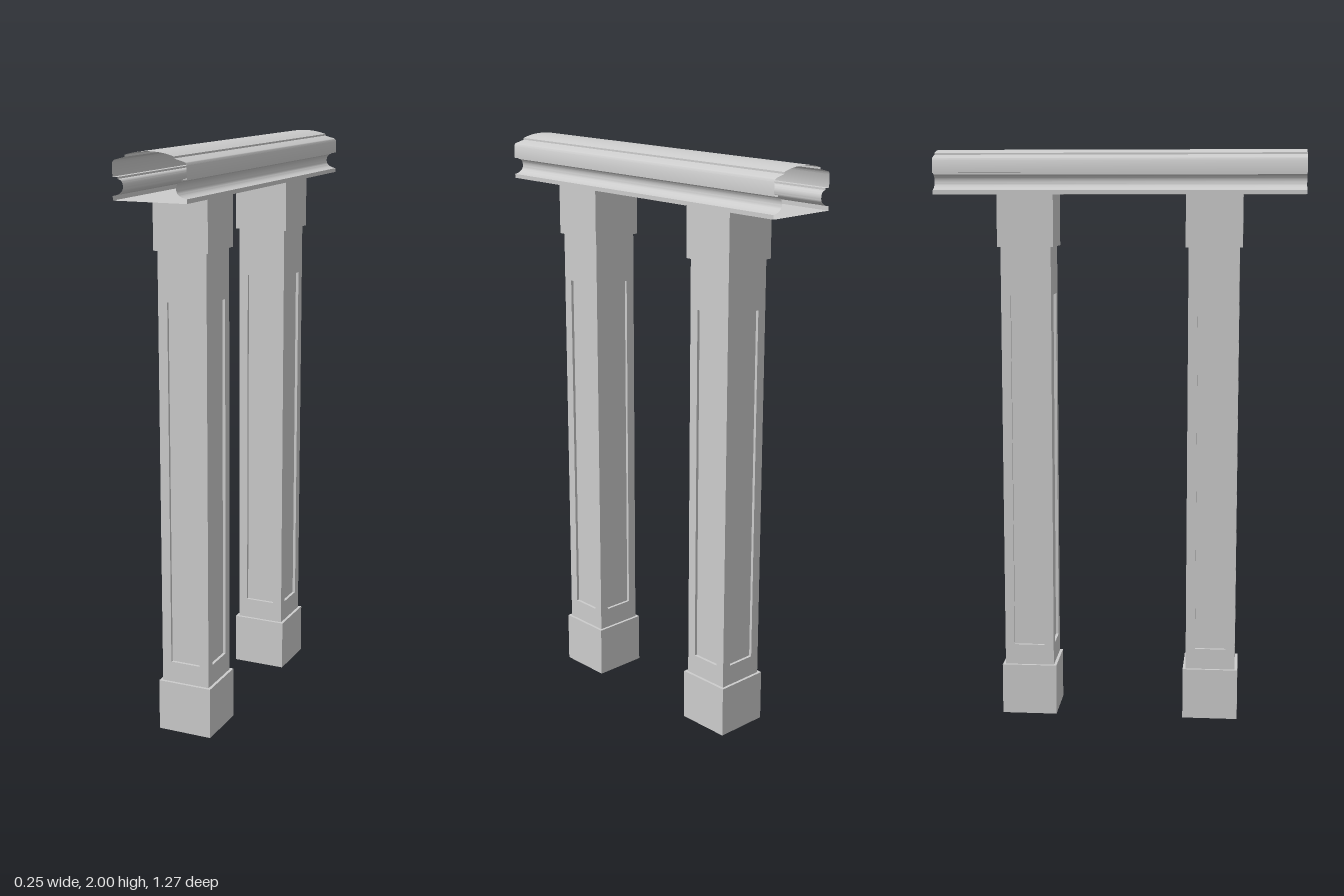
import * as THREE from 'three';
import { toCreasedNormals } from 'three/addons/utils/BufferGeometryUtils.js';

const material = new THREE.MeshStandardMaterial({ color: 0xcccccc, side: THREE.DoubleSide });

function named(name, geometry) {
  const mesh = new THREE.Mesh(geometry, material);
  mesh.name = name;
  return mesh;
}

// Geometry from a list of four-cornered faces, corners counter-clockwise
function fromQuads(quads) {
  const positions = quads.flatMap(([a, b, c, d]) => [a, b, c, a, c, d].flat());
  const geometry = new THREE.BufferGeometry();
  geometry.setAttribute('position', new THREE.Float32BufferAttribute(positions, 3));
  geometry.computeVertexNormals();
  return geometry;
}

// Square sleeve from a profile of [half width, y] points, bottom to top
function squareLoft(profile) {
  const points = profile.map(([half, y]) => new THREE.Vector2(half * Math.SQRT2, y));
  const geometry = new THREE.LatheGeometry(points, 4, Math.PI / 4).toNonIndexed();
  geometry.computeVertexNormals();
  return geometry;
}

const BLOCK = 0.097, SHAFT = 0.087, PANEL = 0.054, RECESS = 0.01;
const BASE_TOP = 0.18, CAP_BOTTOM = 1.67, RAIL_BOTTOM = 1.848;

// One shaft side: frame, reveal and sunken panel as nested rectangles
function shaftSide() {
  const ring = (half, y0, y1, z) => [[-half, y0, z], [half, y0, z], [half, y1, z], [-half, y1, z]];
  const rings = [
    ring(SHAFT, BASE_TOP, CAP_BOTTOM, SHAFT),
    ring(PANEL, 0.253, 1.503, SHAFT),
    ring(PANEL, 0.253, 1.503, SHAFT - RECESS),
  ];
  const quads = [rings[2]];
  for (let r = 0; r < 2; r++) {
    for (let i = 0; i < 4; i++) {
      const j = (i + 1) % 4;
      quads.push([rings[r][i], rings[r][j], rings[r + 1][j], rings[r + 1][i]]);
    }
  }
  return fromQuads(quads);
}

function createPost(name) {
  const post = new THREE.Group();
  post.name = name;
  post.add(named('baseBlock', squareLoft([[BLOCK, 0], [BLOCK, BASE_TOP], [SHAFT, BASE_TOP]])));
  post.add(named('capBlock', squareLoft([[SHAFT, CAP_BOTTOM], [BLOCK, CAP_BOTTOM], [BLOCK, RAIL_BOTTOM]])));
  const side = shaftSide();
  for (let i = 0; i < 4; i++) {
    const face = named('panelledSide', side);
    face.rotation.y = i * Math.PI / 2;
    post.add(face);
  }
  return post;
}

// Hollow moulded rail, open at both ends
function railGeometry(halfLength) {
  // Right half of the section, from bottom edge to crown
  const section = new THREE.Shape();
  section.moveTo(0.126, RAIL_BOTTOM);
  section.lineTo(0.126, 1.862);
  section.quadraticCurveTo(0.09, 1.868, 0.09, 1.89);
  section.quadraticCurveTo(0.09, 1.912, 0.108, 1.914);
  section.lineTo(0.108, 1.92);
  section.lineTo(0.126, 1.92);
  section.lineTo(0.126, 1.962);
  section.quadraticCurveTo(0.124, 1.97, 0.117, 1.972);
  section.lineTo(0.083, 1.981);
  section.lineTo(0.083, 1.987);
  section.quadraticCurveTo(0.045, 2, 0, 2);
  const half = section.getPoints(6).map((p) => [p.x, p.y]);
  const mirrored = half.slice(0, -1).reverse().map(([x, y]) => [-x, y]);
  const loop = [...half, ...mirrored];
  const quads = loop.map((a, i) => {
    const b = loop[(i + 1) % loop.length];
    return [[...a, halfLength], [...a, -halfLength], [...b, -halfLength], [...b, halfLength]];
  });
  return toCreasedNormals(fromQuads(quads), 0.5);
}

export function createModel() {
  const model = new THREE.Group();
  model.name = 'railingSection';
  for (const [name, z] of [['frontPost', 0.325], ['backPost', -0.322]]) {
    const post = createPost(name);
    post.position.set(-0.003, 0, z);
    model.add(post);
  }
  model.add(named('topRail', railGeometry(0.634)));
  return model;
}
